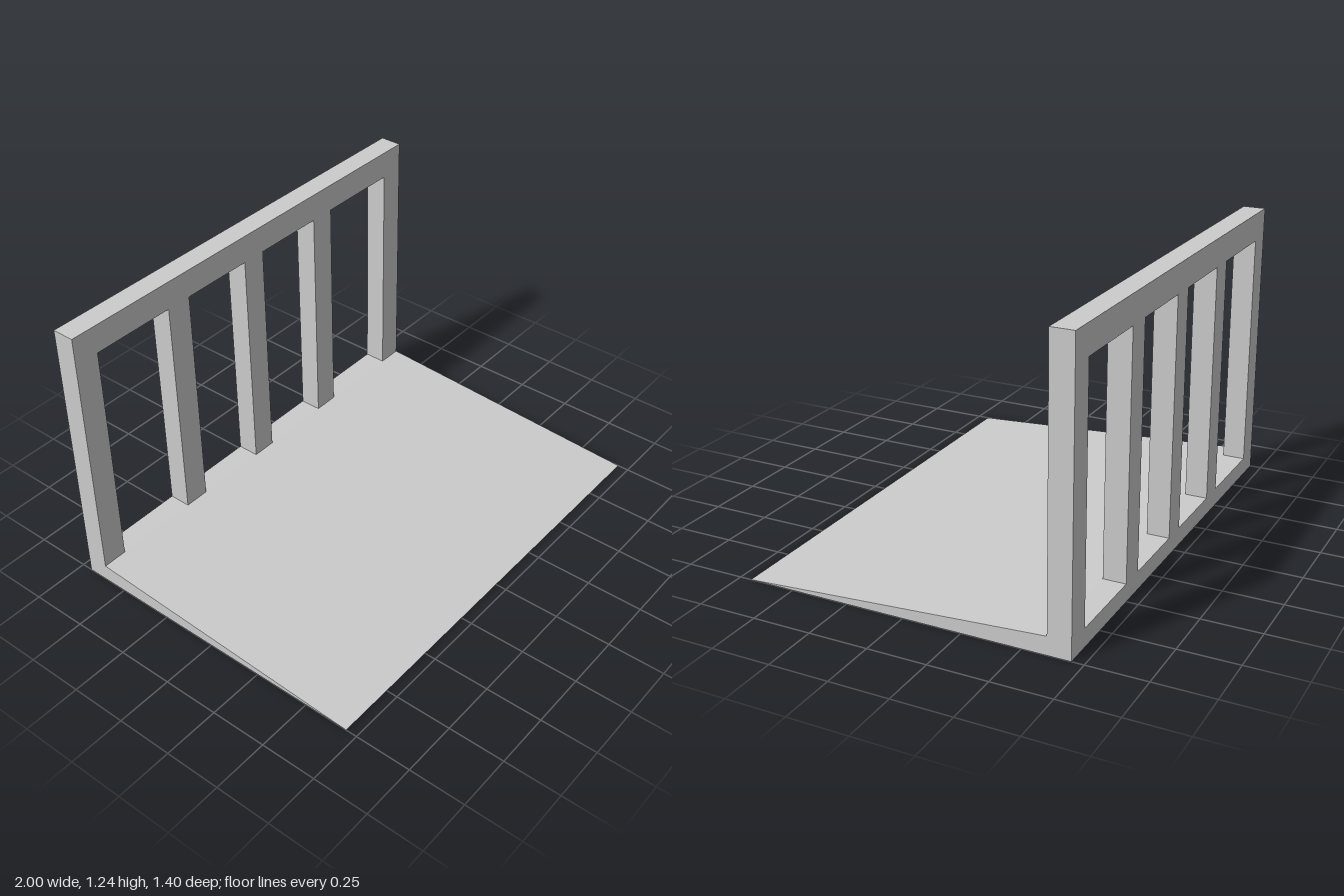
import * as THREE from 'three';

const material = new THREE.MeshStandardMaterial({ color: 0xcccccc, flatShading: true });

// Outline from a list of [x, y] corners
const outline = (pts, Type = THREE.Shape) => new Type(pts.map(([x, y]) => new THREE.Vector2(x, y)));
const rect = (x0, x1, y0, y1) => [[x0, y0], [x1, y0], [x1, y1], [x0, y1]];

export function createModel() {
  const group = new THREE.Group();
  group.name = 'rampWithBarredFrame';

  const halfDepth = 0.7, wallFront = -0.602, sill = 0.078, height = 1.235;

  // Upright frame with four openings between the bars
  const frameShape = outline(rect(-1, 1, 0, height));
  for (const side of [-1, 1]) {
    for (const [inner, outer] of [[0.056, 0.389], [0.505, 0.888]]) {
      const [x0, x1] = side > 0 ? [inner, outer] : [-outer, -inner];
      frameShape.holes.push(outline(rect(x0, x1, sill, 1.112), THREE.Path));
    }
  }
  const frameGeometry = new THREE.ExtrudeGeometry(frameShape, {
    depth: wallFront + halfDepth, bevelEnabled: false,
  });
  frameGeometry.translate(0, 0, -halfDepth);
  const frame = new THREE.Mesh(frameGeometry, material);
  frame.name = 'barredFrame';
  group.add(frame);

  // Wedge floor rising from the front edge to the sill, extruded across the width
  const rampShape = outline([[-halfDepth, 0], [-wallFront, 0], [-wallFront, sill]]);
  const rampGeometry = new THREE.ExtrudeGeometry(rampShape, { depth: 2, bevelEnabled: false });
  rampGeometry.translate(0, 0, -1);
  rampGeometry.rotateY(Math.PI / 2);
  const ramp = new THREE.Mesh(rampGeometry, material);
  ramp.name = 'ramp';
  group.add(ramp);

  return group;
}
